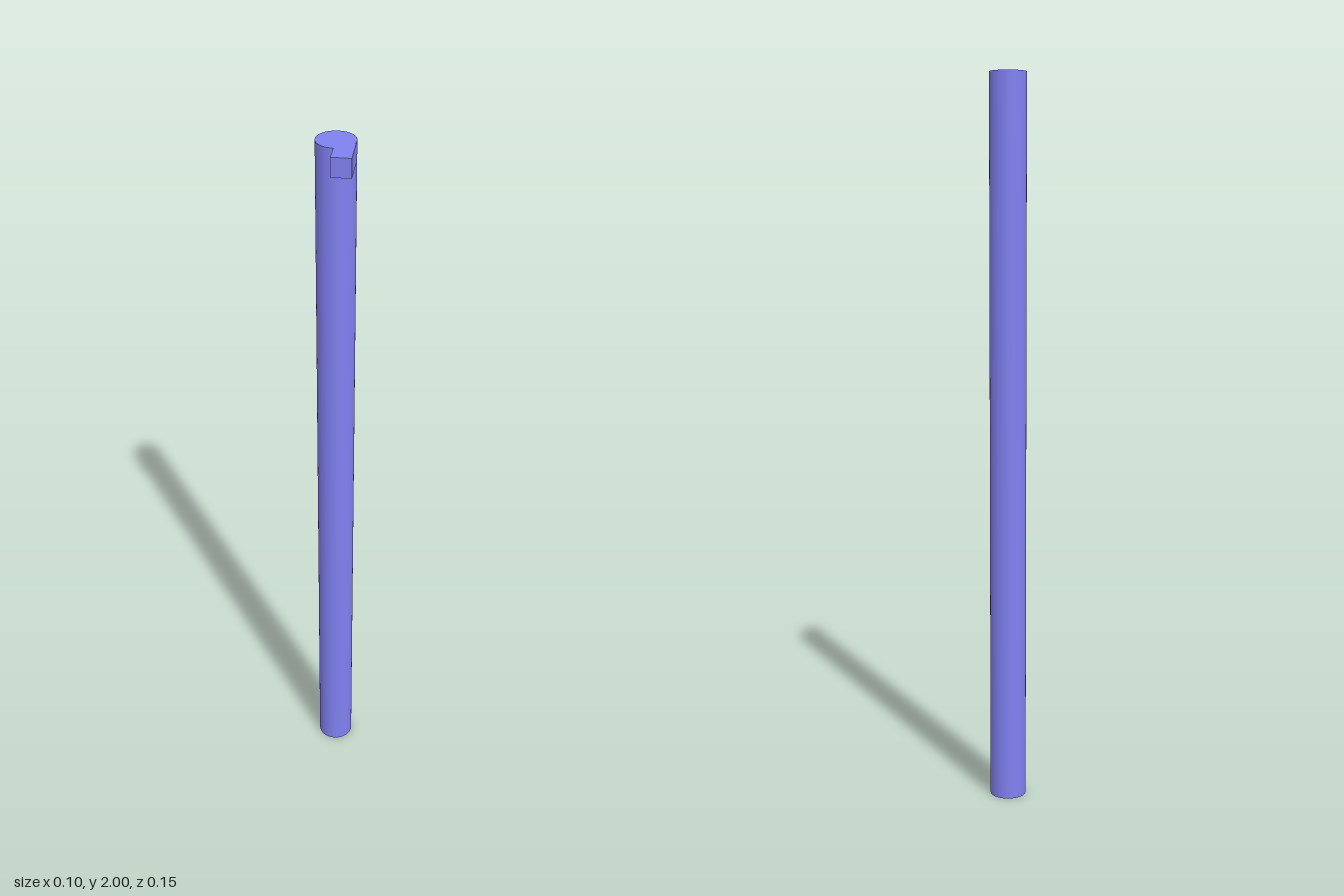
import * as THREE from 'three';

const HEIGHT = 2;
const RADIUS = 0.05;
const AXIS_Z = -0.025; // shaft axis, set back so the whole is centred
const TAB_HEIGHT = 0.05;
const TAB_FRONT = 0.075;

export function createModel() {
  const group = new THREE.Group();
  group.name = 'rodWithTab';
  const material = new THREE.MeshStandardMaterial({ color: 0x8080f0 });

  // Long round shaft
  const shaft = new THREE.Mesh(new THREE.CylinderGeometry(RADIUS, RADIUS, HEIGHT, 64), material);
  shaft.name = 'shaft';
  shaft.position.set(0, HEIGHT / 2, AXIS_Z);
  group.add(shaft);

  // Tab at the top: tangent to the shaft's left side, its back hollowed to fit the shaft
  const outline = new THREE.Shape();
  outline.moveTo(0, TAB_FRONT);
  outline.lineTo(0, AXIS_Z + RADIUS);
  outline.absarc(0, AXIS_Z, RADIUS, Math.PI / 2, 0, true);
  outline.lineTo(RADIUS, TAB_FRONT);
  outline.closePath();
  const tabGeometry = new THREE.ExtrudeGeometry(outline, {
    depth: TAB_HEIGHT,
    bevelEnabled: false,
    curveSegments: 16,
  });
  tabGeometry.rotateX(Math.PI / 2); // outline lies in x/z, depth runs down
  const tab = new THREE.Mesh(tabGeometry, material);
  tab.name = 'tab';
  tab.position.y = HEIGHT;
  group.add(tab);

  return group;
}
